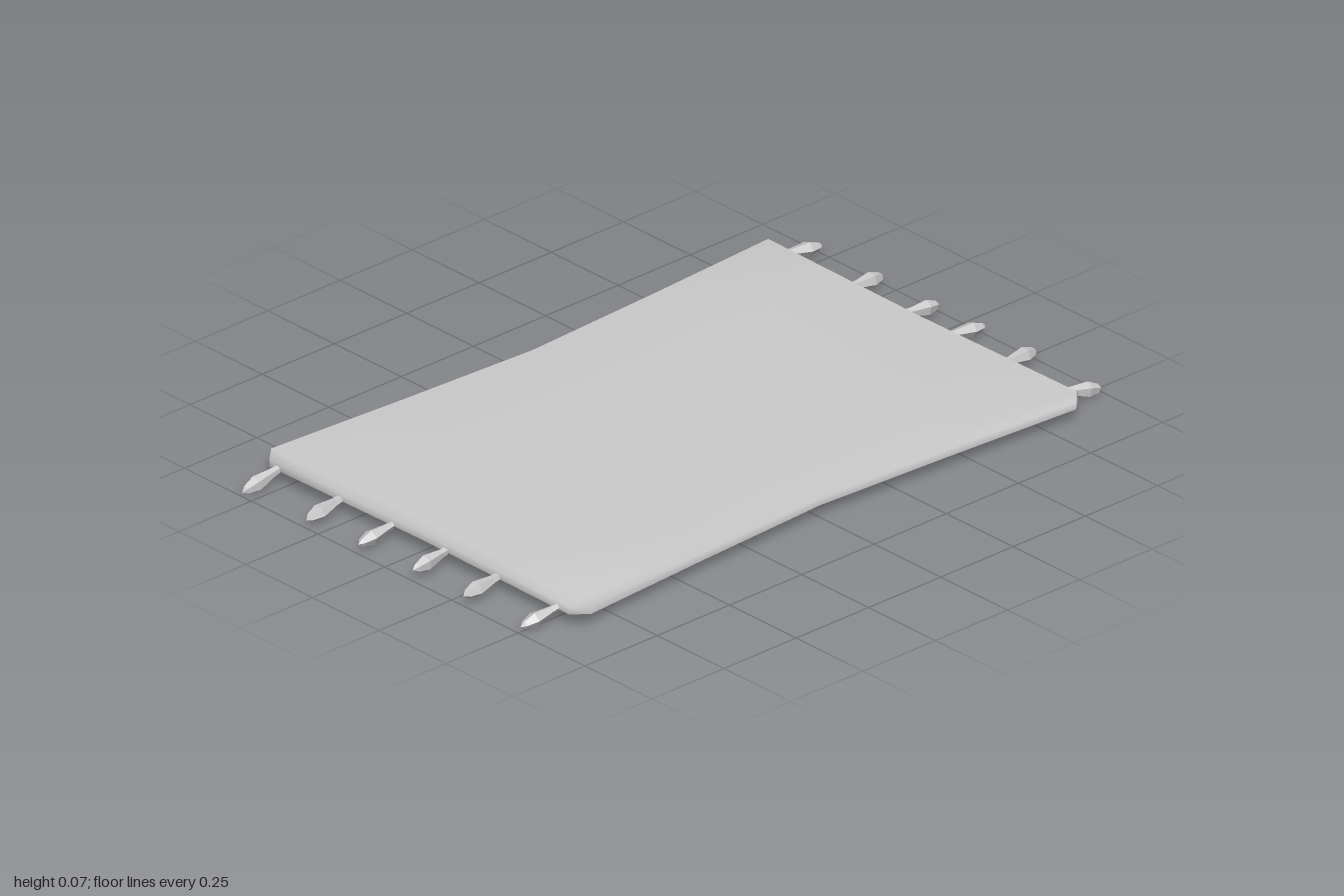
import * as THREE from 'three';
import { mergeVertices } from 'three/addons/utils/BufferGeometryUtils.js';

const TOP = 0.075, RIM = 0.058, BASE = 0.037;

// The long edges curve in toward the middle, the short edges very slightly.
function pinch(x, y, z) {
  return [x * (0.99 + 0.01 * Math.abs(z) / 0.6), y, z * (0.914 + 0.086 * Math.pow(Math.abs(x) / 0.88, 1.15))];
}

// Open-bottomed cloth shell: a 4 x 4 top, a bevel and a short skirt.
function clothGeometry() {
  const pos = [];
  const quad = (a, b, c, d) => pos.push(...a, ...b, ...c, ...a, ...c, ...d);
  const top = (i, j) => pinch(i * 0.43, TOP, j * 0.289);
  for (let i = -2; i < 2; i++)
    for (let j = -2; j < 2; j++)
      quad(top(i, j), top(i, j + 1), top(i + 1, j + 1), top(i + 1, j));

  // Walk the border; each top corner fans out to a chamfer of two rim points.
  const border = [];
  for (let side = 0; side < 4; side++)
    for (let k = -2; k <= 2; k++) {
      const [i, j] = [[k, 2], [2, -k], [-k, -2], [-2, k]][side];
      const alongX = side % 2 === 0;
      const x = alongX ? i * 0.42 : Math.sign(i) * 0.882;
      const z = alongX ? Math.sign(j) * 0.6 : j * 0.28;
      border.push({ top: top(i, j), rim: pinch(x, RIM, z), base: pinch(x, BASE, z) });
    }
  border.forEach((p, n) => {
    const q = border[(n + 1) % border.length];
    if (n % 5 === 4) pos.push(...p.top, ...p.rim, ...q.rim);
    else quad(p.top, p.rim, q.rim, q.top);
    quad(p.rim, p.base, q.base, q.rim);
  });

  const geo = new THREE.BufferGeometry();
  geo.setAttribute('position', new THREE.Float32BufferAttribute(pos, 3));
  const merged = mergeVertices(geo, 1e-4);
  merged.computeVertexNormals();
  return merged;
}

export function createModel() {
  const group = new THREE.Group();
  const clothMat = new THREE.MeshStandardMaterial({ color: 0xcccccc, side: THREE.DoubleSide });
  const tasselMat = new THREE.MeshStandardMaterial({ color: 0xcccccc, flatShading: true });

  const cloth = new THREE.Mesh(clothGeometry(), clothMat);
  cloth.name = 'rugCloth';
  group.add(cloth);

  // Five-sided tassel: thin neck, thick body, pointed end.
  const profile = [[0, 0], [0.011, 0], [0.012, 0.02], [0.021, 0.075], [0.012, 0.108], [0, 0.122]];
  const tasselGeo = new THREE.LatheGeometry(profile.map(([r, y]) => new THREE.Vector2(r, y)), 5);
  tasselGeo.rotateZ(-Math.PI / 2);

  // Each row: z position, yaw and droop of every tassel along one short edge.
  const rows = {
    left: [[-0.535, -0.1, 0.1], [-0.285, 0.09, 0.1], [-0.085, 0, 0.13], [0.08, -0.06, 0.1], [0.29, 0.1, 0.08], [0.51, -0.13, 0.2]],
    right: [[-0.53, -0.08, 0.26], [-0.3, 0.04, 0.14], [-0.105, 0.05, 0.1], [0.095, 0.08, 0.07], [0.29, 0.03, 0.1], [0.515, -0.07, 0.17]],
  };
  for (const [side, row] of Object.entries(rows)) {
    const fringe = new THREE.Group();
    fringe.name = side + 'Fringe';
    row.forEach(([z, yaw, droop], n) => {
      const tassel = new THREE.Mesh(tasselGeo, tasselMat);
      tassel.name = `${side}Tassel${n + 1}`;
      const s = side === 'left' ? 1 : -1;
      tassel.position.set(s * 0.878, 0.041, z);
      tassel.rotation.set(n * 0.4, (s < 0 ? Math.PI : 0) + yaw, -droop, 'YZX');
      fringe.add(tassel);
    });
    group.add(fringe);
  }
  return group;
}
